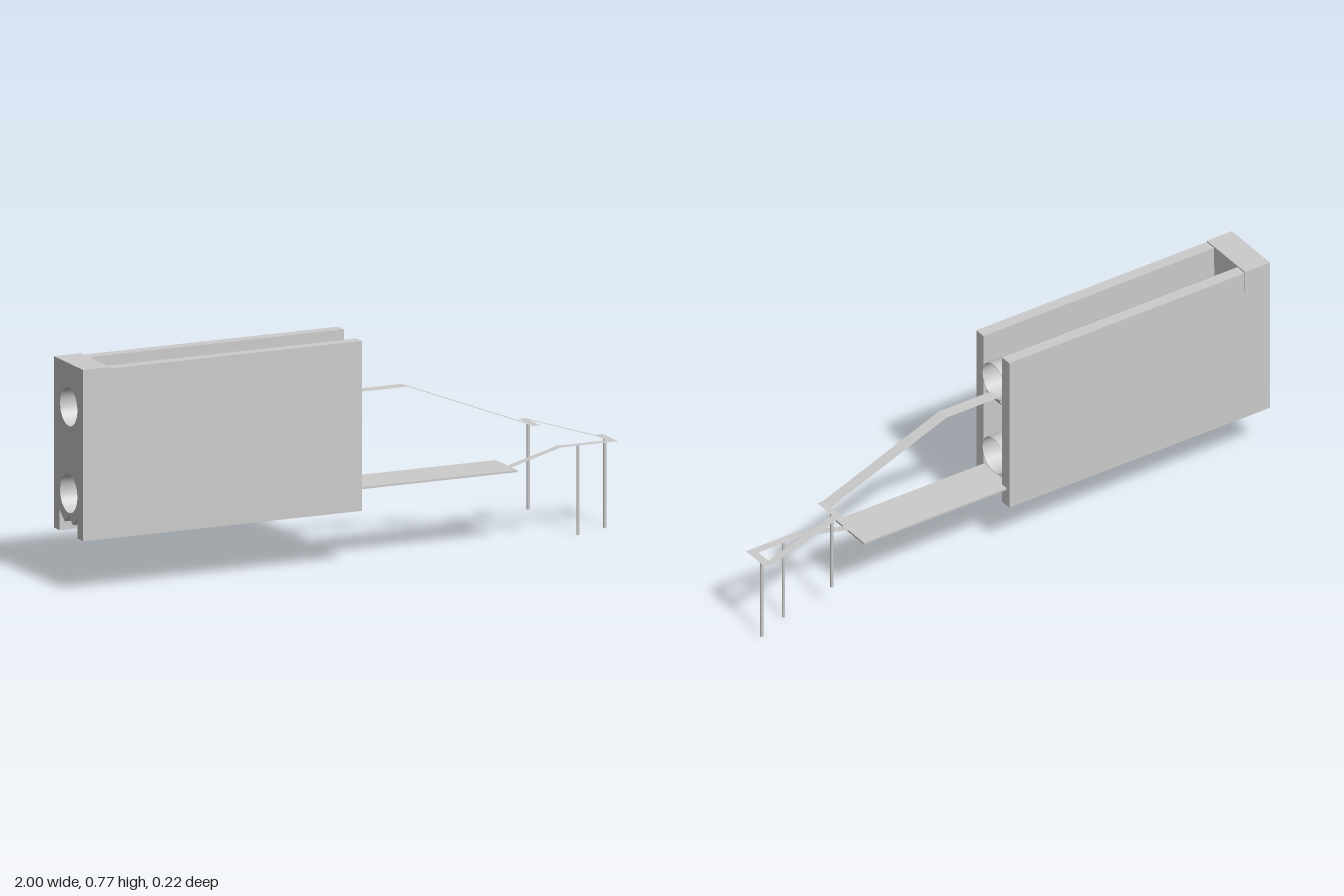
import * as THREE from 'three';

const mat = new THREE.MeshStandardMaterial({ color: 0xcccccc, side: THREE.DoubleSide, flatShading: true });
const smooth = new THREE.MeshStandardMaterial({ color: 0xcccccc, side: THREE.DoubleSide });

export function createModel() {
  const model = new THREE.Group();

  const add = (name, geometry, material = mat) => {
    const mesh = new THREE.Mesh(geometry, material);
    mesh.name = name;
    model.add(mesh);
    return mesh;
  };

  // Box given by its limits on each axis
  const box = (name, x0, x1, y0, y1, z0, z1) =>
    add(name, new THREE.BoxGeometry(x1 - x0, y1 - y0, z1 - z0))
      .position.set((x0 + x1) / 2, (y0 + y1) / 2, (z0 + z1) / 2);

  // Thin sheet following [x, y] points, spanning z0 to z1
  const strip = (name, path, z0, z1) => {
    const pos = [], index = [];
    path.forEach(([x, y], i) => {
      pos.push(x, y, z1, x, y, z0);
      const a = 2 * i;
      if (i) index.push(a - 2, a, a - 1, a, a + 1, a - 1);
    });
    const g = new THREE.BufferGeometry();
    g.setAttribute('position', new THREE.Float32BufferAttribute(pos, 3));
    g.setIndex(index);
    const flat = g.toNonIndexed();
    flat.computeVertexNormals();
    add(name, flat);
  };

  // Side walls
  box('frontWall', -1, 0.02, 0.187, 0.762, 0.07, 0.112);
  box('backWall', -1, 0.04, 0.187, 0.762, -0.11, -0.067);

  // Clamp at the rear end: lid over the walls and a pierced block between them
  box('lid', -1, -0.9, 0.689, 0.767, -0.112, 0.112);
  const tubeY = [0.62, 0.326], tubeZ = 0.002, tubeR = 0.067;
  const outline = new THREE.Shape([
    [-0.068, 0.69], [-0.068, 0.256], [-0.032, 0.225], [0, 0.256],
    [0.029, 0.225], [0.067, 0.256], [0.067, 0.69],
  ].map(([s, y]) => new THREE.Vector2(-s, y)));
  for (const y of tubeY) {
    const hole = new THREE.Path();
    hole.absarc(tubeZ - 0.001, y, tubeR - 0.0005, 0, Math.PI * 2, true);
    outline.holes.push(hole);
  }
  const block = new THREE.ExtrudeGeometry(outline, { depth: 0.1, bevelEnabled: false, curveSegments: 32 });
  block.scale(-1, 1, 1);
  // Mirroring reverses the winding, so swap two corners of each triangle
  const p = block.attributes.position;
  for (let i = 0; i < p.count; i += 3) {
    const b = [p.getX(i + 1), p.getY(i + 1), p.getZ(i + 1)];
    p.setXYZ(i + 1, p.getX(i + 2), p.getY(i + 2), p.getZ(i + 2));
    p.setXYZ(i + 2, ...b);
  }
  block.computeVertexNormals();
  block.rotateY(Math.PI / 2);
  add('endBlock', block).position.x = -1;

  // Two long tubes held between the walls
  tubeY.forEach((y, i) => {
    const wall = new THREE.Shape().absarc(0, 0, tubeR, 0, Math.PI * 2);
    wall.holes.push(new THREE.Path().absarc(0, 0, tubeR - 0.0015, 0, Math.PI * 2, true));
    const g = new THREE.ExtrudeGeometry(wall, { depth: 1.025, bevelEnabled: false, curveSegments: 48 });
    g.rotateY(Math.PI / 2);
    add(i ? 'lowerTube' : 'upperTube', g, smooth).position.set(-1, y, tubeZ);
  });

  // Upper ramp with the small tongue under its start
  strip('upperRamp', [[0.02, 0.568], [0.23, 0.568], [0.69, 0.388]], -0.021, 0.024);
  strip('rampTongue', [[0.02, 0.545], [0.03, 0.568]], -0.037, 0.041);

  // Landing platform and the ramp rising from it
  box('platform', 0.02, 0.61, 0.249, 0.256, -0.095, 0.068);
  strip('lowerRamp', [[0.61, 0.256], [0.79, 0.305], [0.97, 0.305]], -0.006, 0.024);

  // Return path that joins both ramps
  strip('upperCrossing', [[0.69, 0.388], [0.715, 0.388]], -0.092, 0.024);
  strip('returnRamp', [[0.715, 0.388], [0.97, 0.305]], -0.092, -0.063);
  strip('lowerCrossing', [[0.97, 0.305], [1, 0.305]], -0.092, 0.024);

  // Slim support legs: x, bottom, top, z
  for (const [x, y0, y1, z] of [
    [0.704, 0.09, 0.388, -0.045],
    [0.86, 0, 0.305, 0.009],
    [0.984, 0, 0.305, -0.045],
  ]) {
    add('leg', new THREE.CylinderGeometry(0.0055, 0.0055, y1 - y0, 16), smooth)
      .position.set(x, (y0 + y1) / 2, z);
  }
  return model;
}
